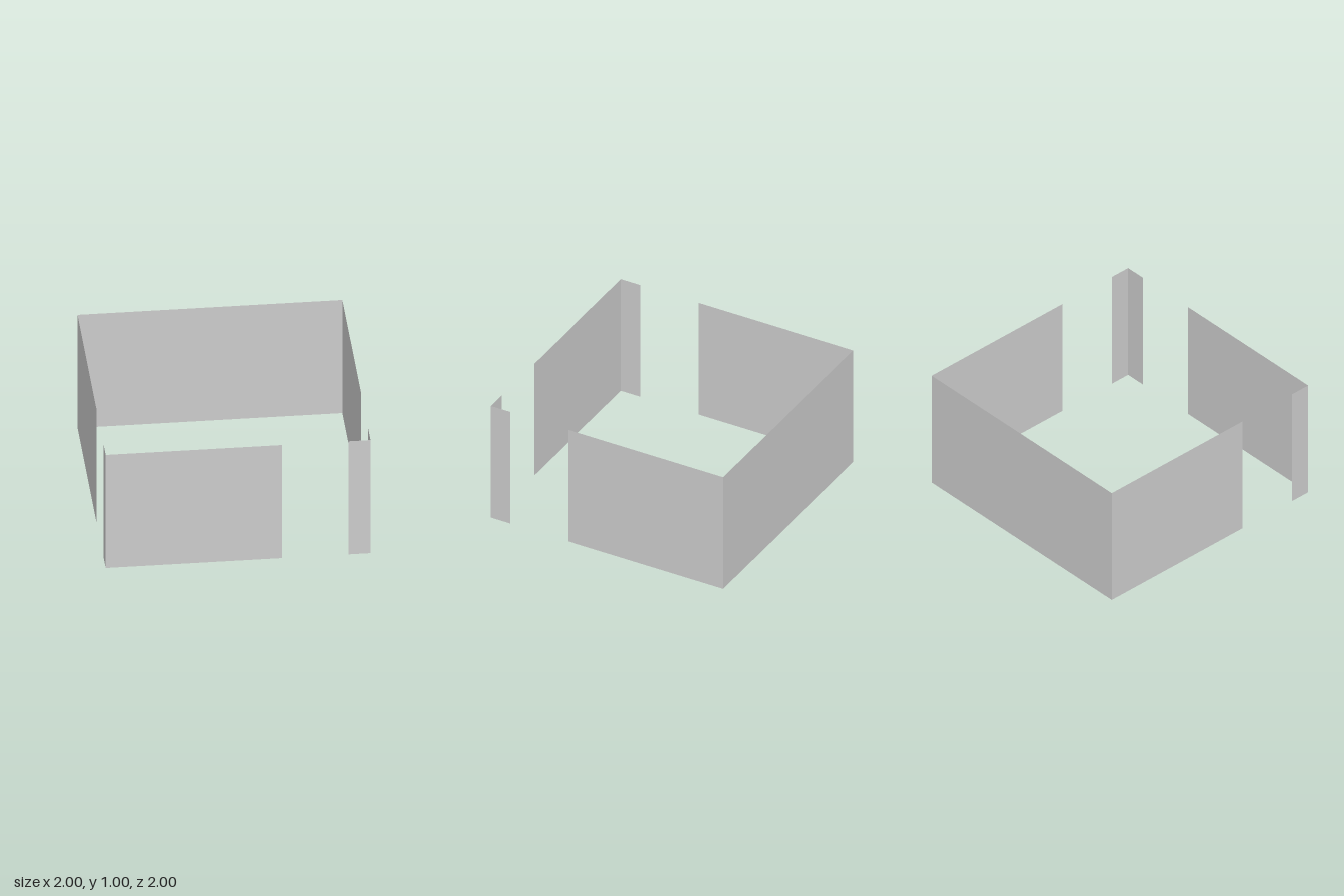
import * as THREE from 'three';

const HEIGHT = 1;
const HALF = 1; // half the side of the square plan
const DOOR_START = 1 / 3; // door opening, measured along each wall
const DOOR_END = 5 / 6;

export function createModel() {
  const group = new THREE.Group();
  group.name = 'roomWalls';
  const material = new THREE.MeshStandardMaterial({ color: 0xcccccc, side: THREE.DoubleSide });

  // Paper-thin upright panel between two plan points, facing outwards
  function addPanel(name, x0, z0, x1, z1) {
    const geometry = new THREE.PlaneGeometry(Math.hypot(x1 - x0, z1 - z0), HEIGHT);
    const panel = new THREE.Mesh(geometry, material);
    panel.name = name;
    panel.position.set((x0 + x1) / 2, HEIGHT / 2, (z0 + z1) / 2);
    panel.rotation.y = Math.atan2(z0 - z1, x1 - x0);
    group.add(panel);
  }

  // Unbroken back wall
  addPanel('backWall', HALF, -HALF, -HALF, -HALF);

  // Front wall, split by its door opening
  addPanel('frontWallLong', -HALF, HALF, DOOR_START, HALF);
  addPanel('frontWallShort', DOOR_END, HALF, HALF, HALF);

  // Side walls, each split by a door opening near the front
  for (const [side, x] of [['left', HALF], ['right', -HALF]]) {
    for (const [part, back, front] of [['Long', -HALF, DOOR_START], ['Short', DOOR_END, HALF]]) {
      const [z0, z1] = x > 0 ? [front, back] : [back, front];
      addPanel(`${side}Wall${part}`, x, z0, x, z1);
    }
  }

  return group;
}
